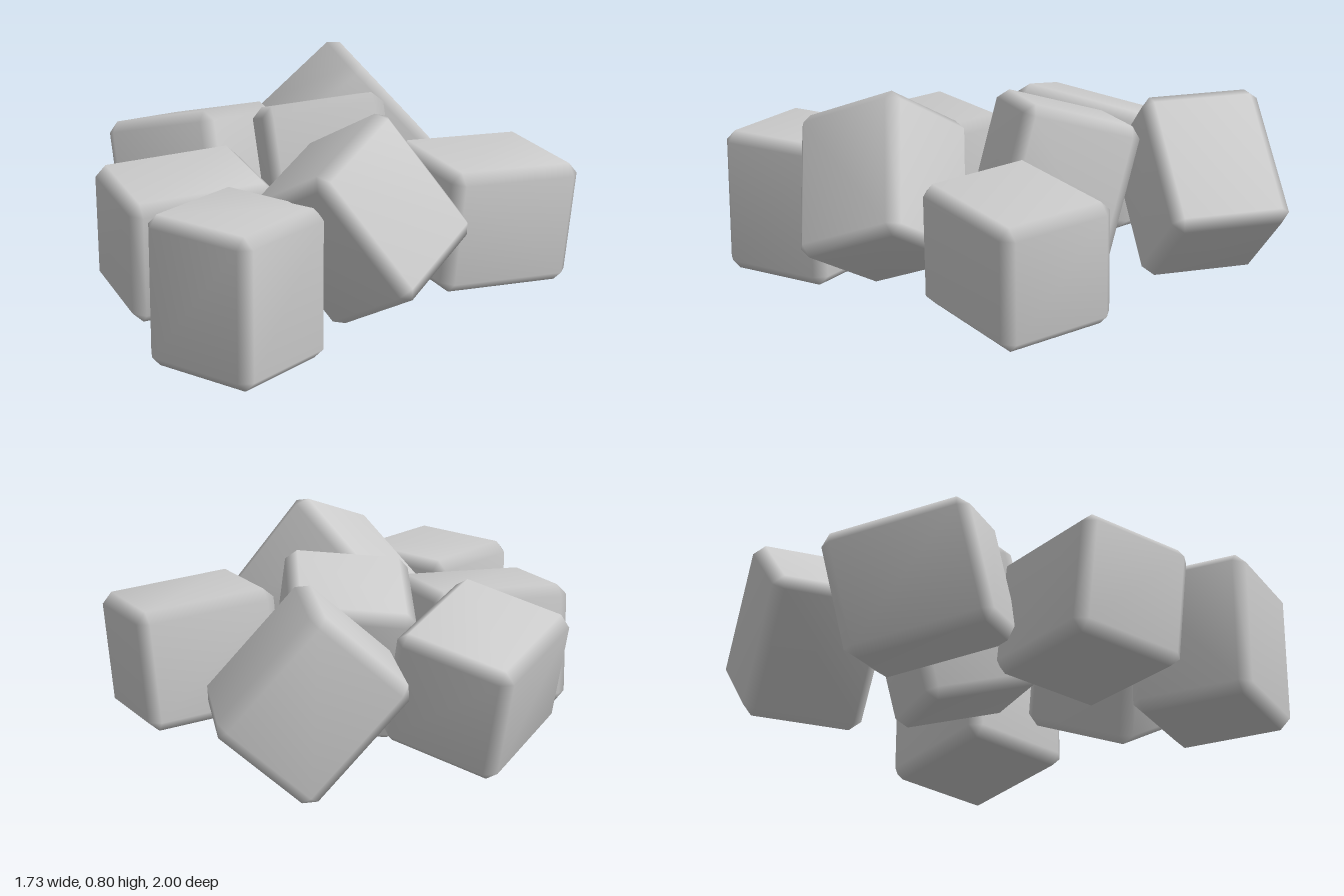
import * as THREE from 'three';
import { ConvexGeometry } from 'three/addons/geometries/ConvexGeometry.js';
import { mergeVertices } from 'three/addons/utils/BufferGeometryUtils.js';

// Block with a single chamfer on every edge and soft normals across it
function chamferedBlock(width, length, depth, c) {
  const half = [width / 2, length / 2, depth / 2];
  const points = [];
  for (const sx of [-1, 1]) for (const sy of [-1, 1]) for (const sz of [-1, 1]) {
    for (let face = 0; face < 3; face++) {
      const p = half.map((h, i) => (i === face ? h : h - c));
      points.push(new THREE.Vector3(sx * p[0], sy * p[1], sz * p[2]));
    }
  }
  let geometry = new ConvexGeometry(points);
  geometry.deleteAttribute('normal');
  geometry = mergeVertices(geometry, 1e-4);
  geometry.computeVertexNormals();
  return geometry;
}

// Each block: centre, direction of its long axis, direction of one short axis
const BLOCKS = [
  { name: 'frontBlock', at: [0.28, 0.275, 0.77], long: [0, 1, 0], side: [1, 0, 0] },
  { name: 'frontRightBlock', at: [-0.18, 0.305, 0.505], long: [-0.49, -0.04, 0.87], side: [0.86, -0.09, 0.48] },
  { name: 'tiltedLeftBlock', at: [0.45, 0.425, 0.29], long: [0.5, -0.8, -0.335], side: [-0.05, 0.38, -0.92] },
  { name: 'middleBlock', at: [-0.03, 0.405, -0.14], long: [-0.27, 0.95, -0.12], side: [0.67, 0.28, 0.68] },
  { name: 'rightBlock', at: [-0.545, 0.35, 0.01], long: [0.2, 0.17, 0.96], side: [0.93, 0.22, -0.24] },
  { name: 'backLeftBlock', at: [0.55, 0.315, -0.34], long: [-0.4, 0.07, 0.91], side: [0.91, -0.06, 0.41] },
  { name: 'backRightBlock', at: [-0.29, 0.4, -0.625], long: [0.435, -0.745, -0.51], side: [0.76, 0, 0.65] },
];

export function createModel() {
  const model = new THREE.Group();
  model.name = 'blockPile';
  const material = new THREE.MeshStandardMaterial({ color: 0xcccccc });
  const geometry = chamferedBlock(0.46, 0.55, 0.46, 0.04);

  for (const { name, at, long, side } of BLOCKS) {
    const y = new THREE.Vector3(...long).normalize();
    const z = new THREE.Vector3(...side).cross(y).normalize();
    const x = new THREE.Vector3().crossVectors(y, z);
    const block = new THREE.Mesh(geometry, material);
    block.name = name;
    block.quaternion.setFromRotationMatrix(new THREE.Matrix4().makeBasis(x, y, z));
    block.position.set(...at);
    model.add(block);
  }
  return model;
}
